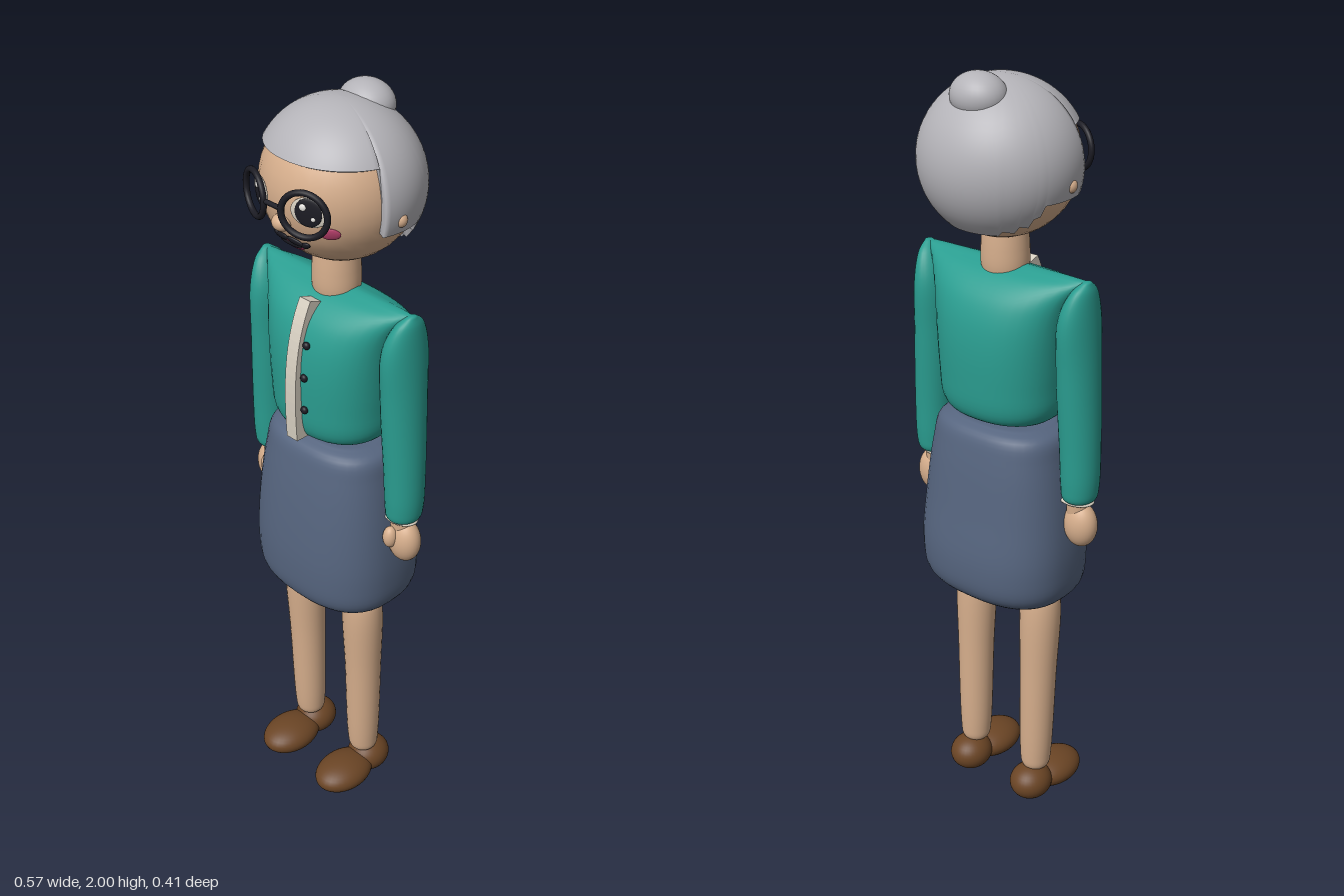
import * as THREE from 'three';

const mat = (name, color) => {
  const m = new THREE.MeshStandardMaterial({ color });
  m.name = name;
  return m;
};

export function createModel() {
  const skin = mat('skin', 0xd6ae8c), teal = mat('teal', 0x2a9d90), blue = mat('skirtBlue', 0x56657f);
  const grey = mat('hairGrey', 0xb4b3b8), brown = mat('shoeBrown', 0x6b4525), black = mat('black', 0x1c1c24);
  const cream = mat('cream', 0xd8d0c2), white = mat('white', 0xf2f0ec), pink = mat('pink', 0xb8406c);

  const model = new THREE.Group();
  model.name = 'grandmother';

  const add = (name, geo, material, x = 0, y = 0, z = 0) => {
    const m = new THREE.Mesh(geo, material);
    m.name = name;
    m.position.set(x, y, z);
    model.add(m);
    return m;
  };
  const ball = (name, material, x, y, z, rx, ry, rz) => {
    const m = add(name, new THREE.SphereGeometry(1, 32, 20), material, x, y, z);
    m.scale.set(rx, ry, rz);
    return m;
  };

  // Closed smooth body through rings [y, rx, rz, cx, cz], bottom to top; n sets how square the rings are
  const loft = (rings, n = 2, cols = 40, rows = 36) => {
    const size = new THREE.CatmullRomCurve3(rings.map(([y, rx, rz]) => new THREE.Vector3(rx, y, rz)));
    const mid = new THREE.CatmullRomCurve3(rings.map(([y, , , cx = 0, cz = 0]) => new THREE.Vector3(cx, y, cz)));
    const pos = [], idx = [];
    const pw = (v) => Math.sign(v) * Math.abs(v) ** (2 / n);
    for (let i = 0; i <= rows; i++) {
      const s = size.getPoint(i / rows), c = mid.getPoint(i / rows);
      for (let j = 0; j < cols; j++) {
        const a = (j / cols) * Math.PI * 2;
        pos.push(c.x + s.x * pw(Math.cos(a)), s.y, c.z + s.z * pw(Math.sin(a)));
      }
    }
    for (let i = 0; i < rows; i++) for (let j = 0; j < cols; j++) {
      const a = i * cols + j, b = i * cols + (j + 1) % cols;
      idx.push(a, a + cols, b, b, a + cols, b + cols);
    }
    const base = cols * (rows + 1), first = rings[0], last = rings[rings.length - 1];
    for (const [y, , , cx = 0, cz = 0] of [first, last]) pos.push(cx, y, cz);
    for (let j = 0; j < cols; j++) {
      const k = (j + 1) % cols, t = rows * cols;
      idx.push(base, j, k, base + 1, t + k, t + j);
    }
    const g = new THREE.BufferGeometry();
    g.setAttribute('position', new THREE.Float32BufferAttribute(pos, 3));
    g.setIndex(idx);
    g.computeVertexNormals();
    return g;
  };

  // Skirt, cardigan and neck
  add('skirt', loft([[0.628, 0.1, 0.08], [0.64, 0.165, 0.12], [0.68, 0.207, 0.158, 0, -0.003],
    [0.76, 0.218, 0.168, 0, -0.004], [0.9, 0.211, 0.158], [1.05, 0.19, 0.14],
    [1.11, 0.175, 0.125], [1.13, 0.13, 0.09]], 2.5), blue);
  add('cardigan', loft([[1.138, 0.1, 0.07], [1.15, 0.143, 0.115], [1.18, 0.162, 0.131], [1.25, 0.169, 0.137],
    [1.35, 0.178, 0.137], [1.42, 0.189, 0.126], [1.47, 0.205, 0.104], [1.51, 0.23, 0.062], [1.531, 0.25, 0.01]], 2.3), teal);
  add('neck', loft([[1.5, 0.058, 0.054], [1.53, 0.061, 0.058], [1.57, 0.06, 0.058], [1.63, 0.056, 0.054]]), skin);

  // Button band: a bent strip seen from the side, extruded across
  const band = new THREE.Shape();
  band.moveTo(0.11, 1.15);
  band.lineTo(0.152, 1.15);
  band.bezierCurveTo(0.162, 1.3, 0.155, 1.42, 0.103, 1.517);
  band.lineTo(0.068, 1.505);
  band.bezierCurveTo(0.115, 1.42, 0.125, 1.3, 0.11, 1.15);
  const bandGeo = new THREE.ExtrudeGeometry(band, { depth: 0.036, bevelEnabled: false, curveSegments: 16 });
  bandGeo.rotateY(-Math.PI / 2);
  add('buttonBand', bandGeo, cream, 0.018, 0, 0);
  for (const [y, z] of [[1.415, 0.13], [1.33, 0.139], [1.24, 0.139]]) ball('button', black, 0.031, y, z, 0.01, 0.01, 0.008);

  // Limbs, mirrored
  for (const s of [1, -1]) {
    add('sleeve', loft([[0.955, 0.026, 0.028, s * 0.236], [0.968, 0.042, 0.045, s * 0.236], [1.0, 0.047, 0.05, s * 0.237],
      [1.1, 0.05, 0.054, s * 0.235], [1.3, 0.05, 0.063, s * 0.226], [1.44, 0.042, 0.066, s * 0.225],
      [1.505, 0.025, 0.042, s * 0.236], [1.531, 0.008, 0.01, s * 0.245]], 2, 28), teal);
    ball('cuff', cream, s * 0.226, 0.957, 0, 0.05, 0.011, 0.036);
    add('wrist', new THREE.CylinderGeometry(0.03, 0.028, 0.06, 24), skin, s * 0.232, 0.935, 0);
    ball('hand', skin, s * 0.241, 0.892, 0, 0.046, 0.06, 0.037);
    ball('thumb', skin, s * 0.224, 0.908, 0.033, 0.019, 0.03, 0.02);
    add('leg', loft([[0.09, 0.024, 0.024, s * 0.106], [0.105, 0.037, 0.037, s * 0.106], [0.14, 0.042, 0.042, s * 0.106, 0.001],
      [0.4, 0.049, 0.049, s * 0.108, 0.006], [0.6, 0.054, 0.053, s * 0.109, 0.012],
      [0.64, 0.047, 0.046, s * 0.109, 0.013], [0.66, 0.02, 0.02, s * 0.109, 0.013]], 2, 28), skin);
    ball('shoeToe', brown, s * 0.107, 0.046, 0.077, 0.067, 0.042, 0.09);
    ball('shoeHeel', brown, s * 0.107, 0.053, -0.02, 0.056, 0.049, 0.061);
    ball('ear', skin, s * 0.198, 1.752, -0.006, 0.014, 0.017, 0.015);
  }

  // Head
  const HY = 1.785, HZ = -0.012, HR = [0.19, 0.186, 0.186];
  ball('head', skin, 0, HY, HZ, ...HR);

  // Cap of hair whose lower edge follows [degrees from the front, height]
  const edge = [[0, 1.882], [72.5, 1.88], [73.5, 1.72], [111, 1.718], [113, 1.69], [118, 1.685], [120, 1.66],
    [128, 1.665], [131, 1.645], [142, 1.65], [146, 1.635], [180, 1.635]];
  const half = [];
  for (let k = 0; k < edge.length - 1; k++) {
    const [a0, y0] = edge[k], [a1, y1] = edge[k + 1], steps = Math.ceil((a1 - a0) / 4);
    for (let i = 0; i < steps; i++) half.push([a0 + (a1 - a0) * i / steps, y0 + (y1 - y0) * i / steps]);
  }
  const cols = [...half, edge[edge.length - 1], ...half.slice(1).reverse().map(([a, y]) => [360 - a, y])];
  const ROWS = 24, W = cols.length, hp = [], hi = [];
  for (let r = 0; r <= ROWS + 2; r++) for (const [deg, low] of cols) {
    const p = deg * Math.PI / 180, th = Math.acos((low - HY) / 0.197) * Math.min(r / ROWS, 1);
    const k = r > ROWS + 1 ? 0.9 : 1;
    hp.push(0.207 * k * Math.sin(th) * Math.sin(p), HY + 0.197 * k * Math.cos(th), HZ + 0.195 * k * Math.sin(th) * Math.cos(p));
  }
  for (let r = 0; r < ROWS + 2; r++) {
    if (r === ROWS) continue; // keeps the rim sharp
    for (let j = 0; j < W; j++) {
      const a = r * W + j, b = r * W + (j + 1) % W;
      hi.push(a, a + W, b, b, a + W, b + W);
    }
  }
  const hairGeo = new THREE.BufferGeometry();
  hairGeo.setAttribute('position', new THREE.Float32BufferAttribute(hp, 3));
  hairGeo.setIndex(hi);
  hairGeo.computeVertexNormals();
  add('hair', hairGeo, grey);
  ball('hairBun', grey, 0, 1.944, -0.095, 0.072, 0.056, 0.061);

  // Thin oval lying on the face at (x, y)
  const patch = (name, material, x, y, rx, ry, tilt = 0, lift = 0) => {
    const u = x / HR[0], v = (y - HY) / HR[1], w = Math.sqrt(1 - u * u - v * v);
    const n = new THREE.Vector3(u / HR[0], v / HR[1], w / HR[2]).normalize();
    const m = ball(name, material, x, y, HZ + HR[2] * w, rx, ry, 0.005);
    m.lookAt(m.position.clone().add(n));
    m.rotateZ(tilt);
    m.position.addScaledVector(n, lift);
  };

  ball('nose', skin, 0, 1.738, 0.172, 0.025, 0.02, 0.021);
  patch('lips', pink, 0, 1.676, 0.036, 0.022);
  patch('mouth', black, 0, 1.679, 0.034, 0.009, 0, 0.003);
  for (const s of [1, -1]) {
    patch('cheek', pink, s * 0.112, 1.733, 0.024, 0.016);
    patch('upperLip', black, s * 0.02, 1.692, 0.024, 0.01, s * -0.25, 0.003);
    patch('mouthCorner', black, s * 0.044, 1.686, 0.014, 0.009, s * 0.5, 0.002);

    // Eyes
    patch('eyeWhite', cream, s * 0.078, 1.785, 0.046, 0.036, 0, 0.002);
    patch('pupil', black, s * 0.076, 1.785, 0.033, 0.034, 0, 0.005);
    patch('eyeGlint', white, s * 0.076 - 0.011, 1.797, 0.009, 0.009, 0, 0.008);
    patch('eyeGlint', white, s * 0.076 + 0.011, 1.773, 0.006, 0.006, 0, 0.008);

    // Glasses
    const rim = add('glassesRim', new THREE.TorusGeometry(0.053, 0.0075, 12, 40), black, s * 0.08, HY, 0.178);
    rim.rotation.y = s * 0.38;
    rim.scale.x = 1.06;
  }
  const bridge = add('glassesBridge', new THREE.CylinderGeometry(0.006, 0.006, 0.056, 12), black, 0, 1.79, 0.198);
  bridge.rotation.z = Math.PI / 2;

  return model;
}
